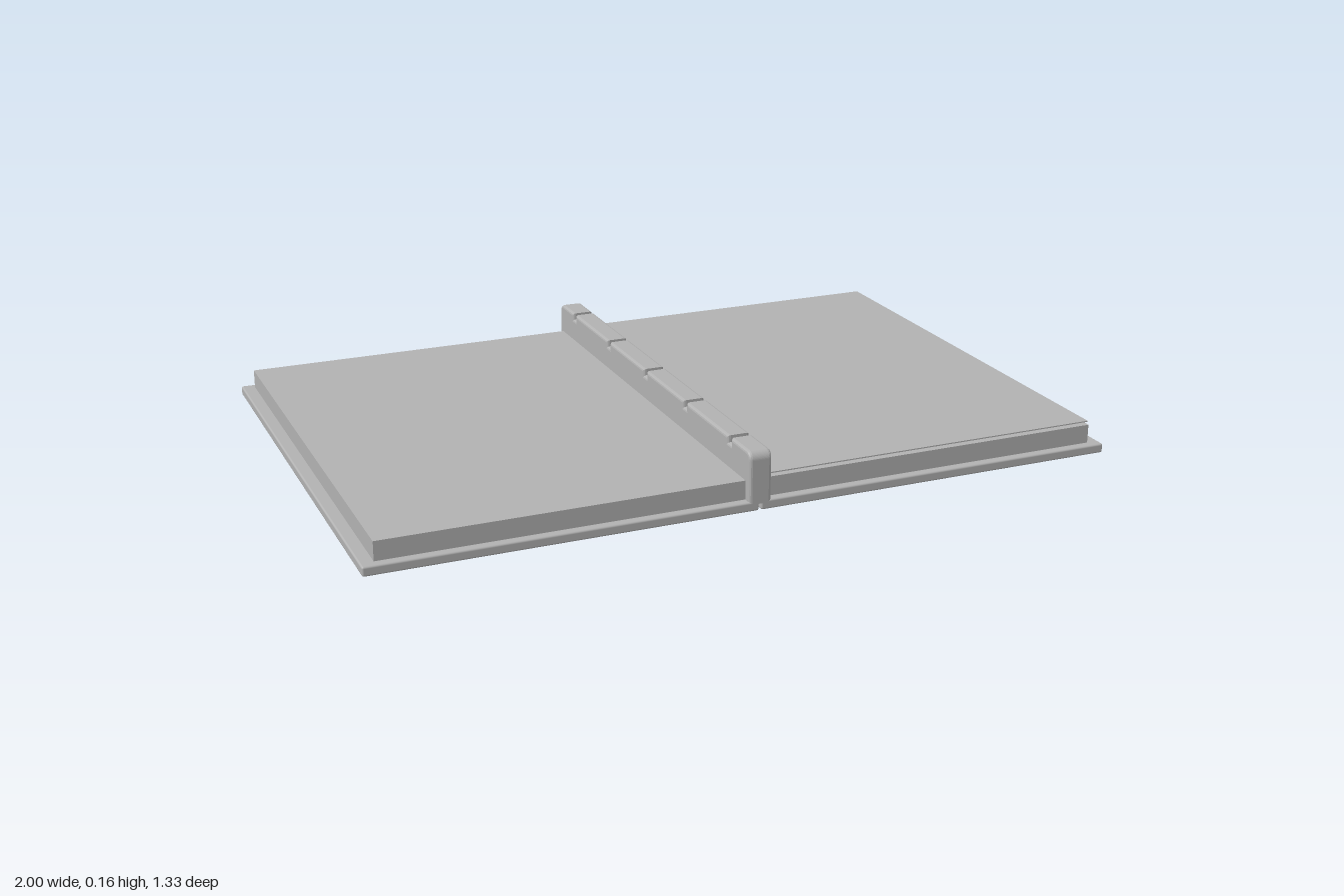
import * as THREE from 'three';
import { RoundedBoxGeometry } from 'three/addons/geometries/RoundedBoxGeometry.js';

const grey = new THREE.MeshStandardMaterial({ color: 0xb2b2b2 });
grey.name = 'plain grey';

const HALF_Z = 0.665;   // half height of the covers
const COVER = 0.025;    // cover thickness
const TOP = 0.155;      // top of the spine

function add(group, name, geometry, x = 0, y = 0, z = 0) {
  const mesh = new THREE.Mesh(geometry, grey);
  mesh.name = name;
  mesh.position.set(x, y, z);
  group.add(mesh);
  return mesh;
}

// Side profile of the spine: rounded top corners and five notches along the ridge
function spineGeometry() {
  const r = 0.022, notch = 0.009, depth = 0.018, bevel = 0.008, width = 0.06;
  const s = new THREE.Shape();
  s.moveTo(-HALF_Z, 0.018);
  s.lineTo(HALF_Z, 0.018);
  s.lineTo(HALF_Z, TOP - r);
  s.absarc(HALF_Z - r, TOP - r, r, 0, Math.PI / 2, false);
  for (const z of [0.545, 0.27, 0, -0.27, -0.545]) {
    s.lineTo(z + notch, TOP);
    s.lineTo(z + notch, TOP - depth);
    s.lineTo(z - notch, TOP - depth);
    s.lineTo(z - notch, TOP);
  }
  s.lineTo(-HALF_Z + r, TOP);
  s.absarc(-HALF_Z + r, TOP - r, r, Math.PI / 2, Math.PI, false);
  s.closePath();
  const g = new THREE.ExtrudeGeometry(s, {
    depth: width - 2 * bevel, curveSegments: 6,
    bevelEnabled: true, bevelThickness: bevel, bevelSize: bevel, bevelOffset: -bevel, bevelSegments: 3,
  });
  g.translate(0, 0, -(width - 2 * bevel) / 2);
  g.rotateY(-Math.PI / 2);
  return g;
}

export function createModel() {
  const book = new THREE.Group();
  book.name = 'openBook';

  // Covers with a fine seam between them, and a page block on each
  for (const [side, label] of [[1, 'left'], [-1, 'right']]) {
    add(book, label + 'Cover',
      new RoundedBoxGeometry(0.997, COVER, HALF_Z * 2, 2, 0.005), side * 0.5015, COVER / 2);
    const inner = 0.025, outer = 0.966, top = 0.075;
    add(book, label + 'PageBlock',
      new THREE.BoxGeometry(outer - inner, top - 0.02, 1.284), side * (inner + outer) / 2, (top + 0.02) / 2);
  }

  // Loose sheet lifted just above the left page block
  add(book, 'looseSheet', new THREE.BoxGeometry(0.941, 0.003, 1.274), 0.4955, 0.083);

  add(book, 'spine', spineGeometry());
  return book;
}
